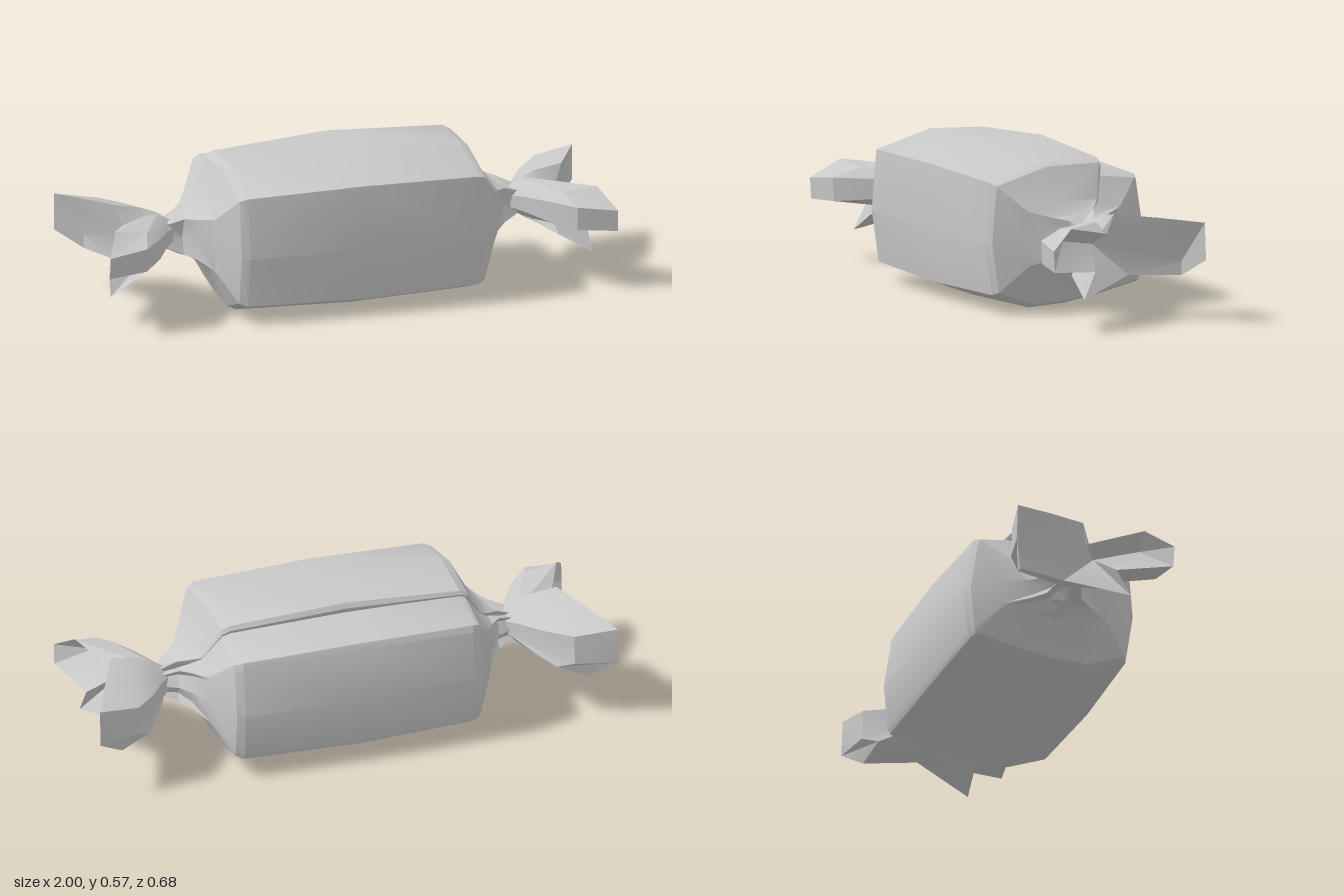
import * as THREE from 'three';
import { toCreasedNormals } from 'three/addons/utils/BufferGeometryUtils.js';

const foil = new THREE.MeshStandardMaterial({ color: 0xc8c8c8, side: THREE.DoubleSide });
foil.name = 'foil grey';

// Skins a list of closed rings, each made of [x, y, z] points, keeping folds sharp
function loft(rings, flip) {
  const n = rings[0].length, index = [];
  for (let r = 0; r < rings.length - 1; r++) {
    for (let i = 0; i < n; i++) {
      const a = r * n + i, b = r * n + (i + 1) % n, c = a + n, d = b + n;
      if (flip) index.push(a, b, c, b, d, c);
      else index.push(a, c, b, b, c, d);
    }
  }
  const g = new THREE.BufferGeometry();
  g.setAttribute('position', new THREE.Float32BufferAttribute(rings.flat(2), 3));
  g.setIndex(index);
  return toCreasedNormals(g, 0.45);
}

const MID = 0.29; // height of the sweet's axis

// Wrapper section as [z, y], with the overlapping flap on top
const section = [
  [0.34, 0.26], [0.32, 0.5], [0.09, 0.565], [-0.14, 0.575], [-0.15, 0.555], [-0.145, 0.54],
  [-0.11, 0.515], [-0.3, 0.49], [-0.31, 0.465], [-0.34, 0.27], [-0.325, 0.09], [-0.315, 0.07],
  [-0.16, 0.035], [0, 0.007], [0.15, 0], [0.31, 0.06],
];

// Stations from the middle outwards: x, z scale, y scale, pleat depth, how far the flap lies down
const stations = [
  [0, 1, 1, 0, 0], [0.445, 0.97, 0.955, 0, 0.4], [0.475, 0.925, 0.905, 0, 0.5], [0.54, 0.62, 0.46, 0, 0.8],
  [0.58, 0.38, 0.36, 0.2, 1], [0.62, 0.22, 0.31, 0.35, 1], [0.68, 0.14, 0.2, 0.2, 1],
];

// Open mouth of the twisted end as [x, y, z]: six points along the top, six along the bottom
const mouth = [
  [0.98, 0.31, 0.325], [0.93, 0.38, 0.225], [0.84, 0.335, 0.03], [0.86, 0.41, 0.01],
  [0.93, 0.395, -0.14], [1, 0.375, -0.295], [1, 0.235, -0.3], [0.9, 0.168, -0.25],
  [0.84, 0.175, -0.06], [0.93, 0.11, 0.17], [0.92, 0.21, 0.12], [0.98, 0.23, 0.32],
];

// Crease inside the mouth where the two sheets meet, and the crease point behind each mouth point
const creaseLine = [[0.96, 0.312, 0.31], [0.86, 0.325, 0.225], [0.8, 0.295, 0.07], [0.9, 0.22, -0.25]];
const creaseOf = [0, 1, 2, 2, 2, 3, 3, 3, 2, 2, 2, 1];

// Fan stations: fraction of the way to the mouth, z scale, half height, share of the mouth's own height
const fanSteps = [
  [-0.08, 0, 0, 0], [0, 0.13, 0.045, 0], [0.12, 0.28, 0.06, 0], [0.3, 0.6, 0.08, 0.1],
  [0.55, 0.92, 0.095, 0.35], [1, 1, 0.1, 1],
];

function bodyRing([x, sz, sy, pleat, lie], side) {
  const down = lie * (side > 0 ? 0.4 : 1);
  return section.map(([z, y], i) => {
    const k = i % 2 ? 1 : 1 - pleat;
    const isFlap = i >= 3 && i <= 5;
    const h = isFlap ? y + (0.522 - y) * down : y;
    return [side * x, MID + (h - MID) * sy * k, z * sz * k];
  });
}

// The right twist sits slightly further back
const place = ([x, y, z], side, t) => [side * x, y, z - (side < 0 ? 0.02 * Math.max(t, 0) : 0)];

// Lens-shaped near the neck, turning into the crumpled mouth
function fanRing([t, sz, half, own], side) {
  return mouth.map(([x, y, z], i) => {
    const lens = 0.292 + (i < 6 ? half : -half) * (1 - 1.6 * Math.abs(z));
    return place([0.65 + (x - 0.65) * t, lens + (y - lens) * own, z * sz], side, t);
  });
}

export function createModel() {
  const model = new THREE.Group();
  model.name = 'wrappedSweet';
  const add = (name, geometry) => {
    const m = new THREE.Mesh(geometry, foil);
    m.name = name;
    model.add(m);
  };

  // Body with gathered necks
  const leftHalf = stations.map((s) => bodyRing(s, 1));
  const rightHalf = stations.slice(1).reverse().map((s) => bodyRing(s, -1));
  add('wrapperBody', loft([...rightHalf, ...leftHalf], false));

  // Flared twists at both ends, each with a folded inside
  for (const side of [1, -1]) {
    const label = side > 0 ? 'left' : 'right';
    add(label + 'Twist', loft(fanSteps.map((s) => fanRing(s, side)), side < 0));
    const rim = mouth.map((p) => place(p, side, 1));
    const fold = creaseOf.map((i) => place(creaseLine[i], side, 1));
    add(label + 'TwistInside', loft([rim, fold], side < 0));
  }
  return model;
}
